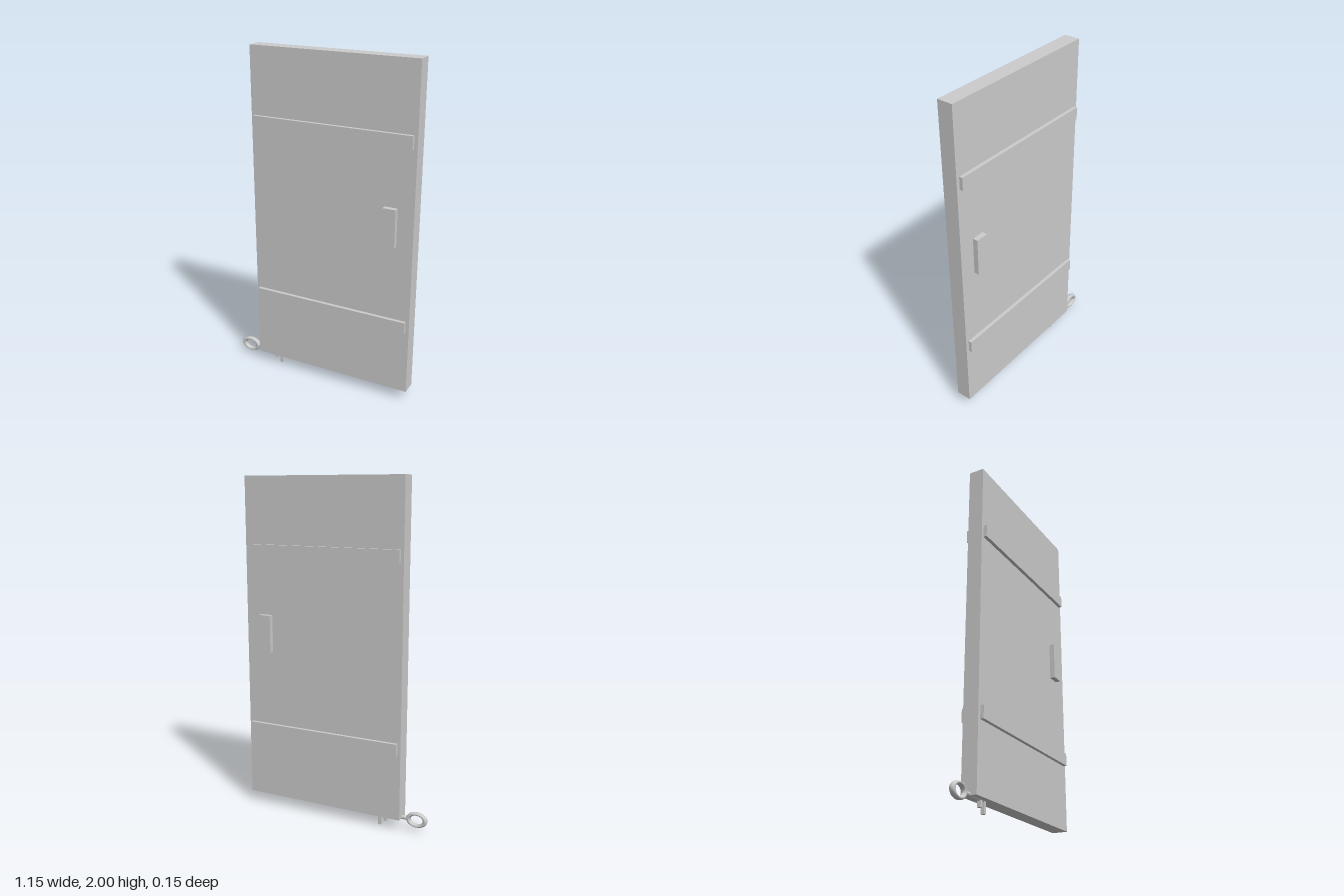
import * as THREE from 'three';

const grey = new THREE.MeshStandardMaterial({ color: 0xcccccc, flatShading: true });
const smoothGrey = new THREE.MeshStandardMaterial({ color: 0xcccccc });

// Box given by its extents in x and y, centred on z = 0
function box(name, x0, x1, y0, y1, depth, z = 0) {
  const mesh = new THREE.Mesh(new THREE.BoxGeometry(x1 - x0, y1 - y0, depth), grey);
  mesh.position.set((x0 + x1) / 2, (y0 + y1) / 2, z);
  mesh.name = name;
  return mesh;
}

function createKey() {
  const key = new THREE.Group();
  key.name = 'key';
  const y = 0.07;

  // Oval bow
  const bow = new THREE.Mesh(new THREE.TorusGeometry(0.051, 0.0135, 12, 32), smoothGrey);
  bow.scale.set(1, 0.71, 1.2);
  bow.position.set(-0.513, y, 0);
  bow.name = 'keyBow';

  // Shaft running under the door's lower edge
  const shaft = new THREE.Mesh(new THREE.CylinderGeometry(0.012, 0.012, 0.18, 12), smoothGrey);
  shaft.rotation.z = Math.PI / 2;
  shaft.position.set(-0.365, y, 0);
  shaft.name = 'keyShaft';

  key.add(
    bow,
    shaft,
    box('keyToothShort', -0.329, -0.312, 0.028, y, 0.022),
    box('keyToothLong', -0.295, -0.277, 0, y, 0.022)
  );
  return key;
}

export function createModel() {
  const model = new THREE.Group();
  model.name = 'door';

  // Door leaf
  model.add(box('doorPanel', -0.423, 0.577, 0.064, 2, 0.091));

  // Cross bars and handles on both faces
  for (const [side, s] of [['front', 1], ['back', -1]]) {
    model.add(
      box(side + 'LowerBar', -0.404, 0.557, 0.452, 0.526, 0.026, s * 0.053),
      box(side + 'UpperBar', -0.404, 0.557, 1.536, 1.61, 0.026, s * 0.053),
      box(side + 'Handle', 0.405, 0.481, 0.973, 1.197, 0.036, s * 0.058)
    );
  }

  model.add(createKey());
  return model;
}
